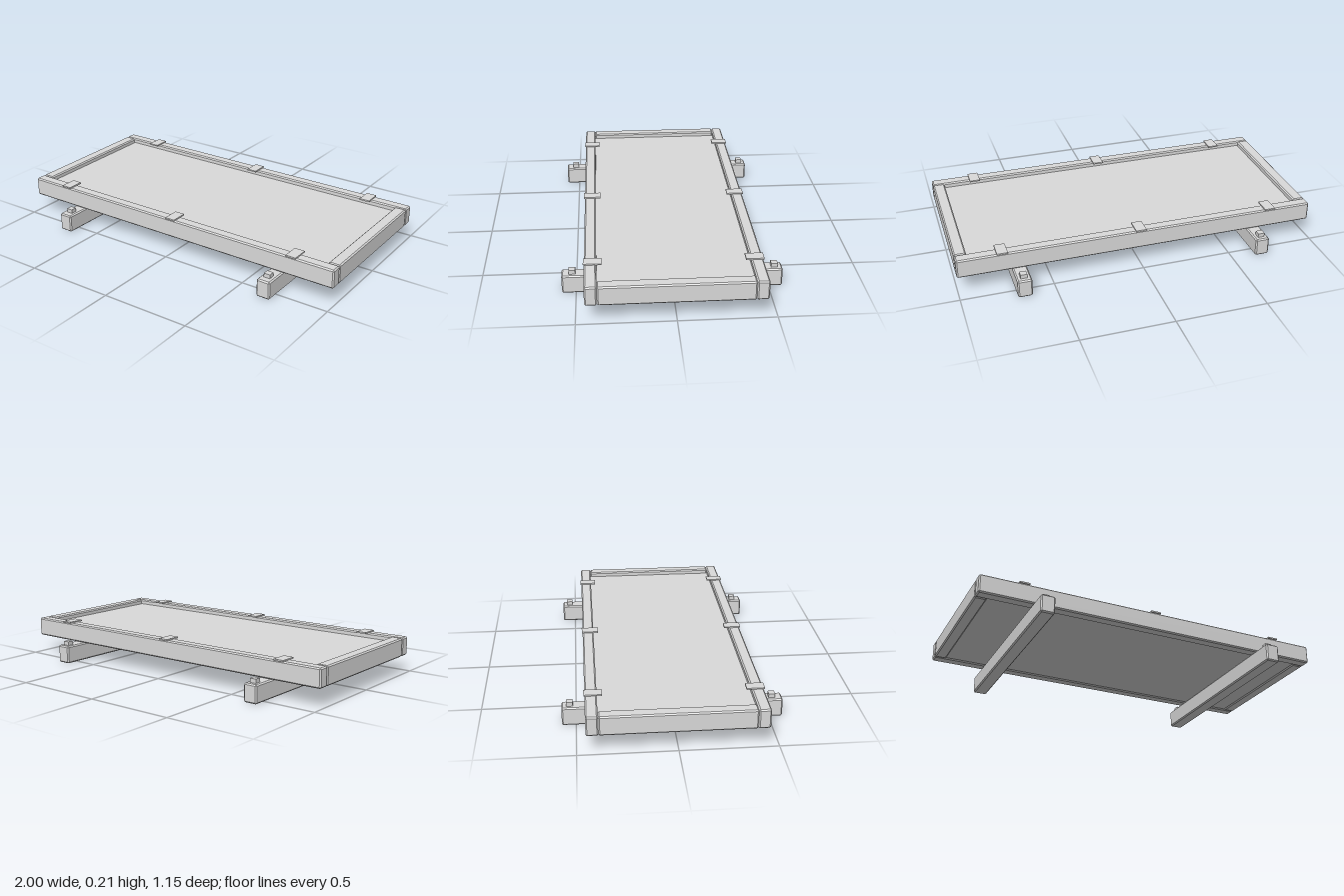
import * as THREE from 'three';
import { ConvexGeometry } from 'three/addons/geometries/ConvexGeometry.js';

// Box with every edge cut at 45 degrees
function chamferedBox(w, h, d, c) {
  const points = [];
  for (const x of [-w / 2, w / 2]) {
    for (const y of [-h / 2, h / 2]) {
      for (const z of [-d / 2, d / 2]) {
        const cx = x - Math.sign(x) * c;
        const cy = y - Math.sign(y) * c;
        const cz = z - Math.sign(z) * c;
        points.push(
          new THREE.Vector3(x, cy, cz),
          new THREE.Vector3(cx, y, cz),
          new THREE.Vector3(cx, cy, z)
        );
      }
    }
  }
  return new ConvexGeometry(points);
}

export function createModel() {
  const model = new THREE.Group();
  model.name = 'framedPanelOnBeams';
  const grey = new THREE.MeshStandardMaterial({ color: 0xdadada });
  grey.name = 'light grey';

  // Box given by its bottom centre, with an optional chamfer
  function block(name, [w, h, d], [x, y, z], chamfer = 0) {
    const geometry = chamfer
      ? chamferedBox(w, h, d, chamfer)
      : new THREE.BoxGeometry(w, h, d);
    const mesh = new THREE.Mesh(geometry, grey);
    mesh.name = name;
    mesh.position.set(x, y + h / 2, z);
    model.add(mesh);
  }

  // Panel recessed from above, nearly flush below
  block('panel', [1.87, 0.07, 0.782], [0, 0.11, 0]);

  for (const side of [-1, 1]) {
    // Frame rails, meeting at the corners
    block('longRail', [2, 0.104, 0.062], [0, 0.103, side * 0.422], 0.007);
    block('endRail', [0.066, 0.104, 0.782], [side * 0.967, 0.103, 0], 0.007);

    // Support beam with a square peg near each end
    block('supportBeam', [0.078, 0.1, 1.146], [side * 0.669, 0, 0], 0.007);
    for (const z of [-0.531, 0.518]) {
      block('beamPeg', [0.036, 0.022, 0.034], [side * 0.669, 0.1, z]);
    }

    // Flat clips lying across the long rails
    for (const x of [-0.757, 0, 0.757]) {
      block('railClip', [0.058, 0.008, 0.093], [x, 0.206, side * 0.411]);
    }
  }
  return model;
}
